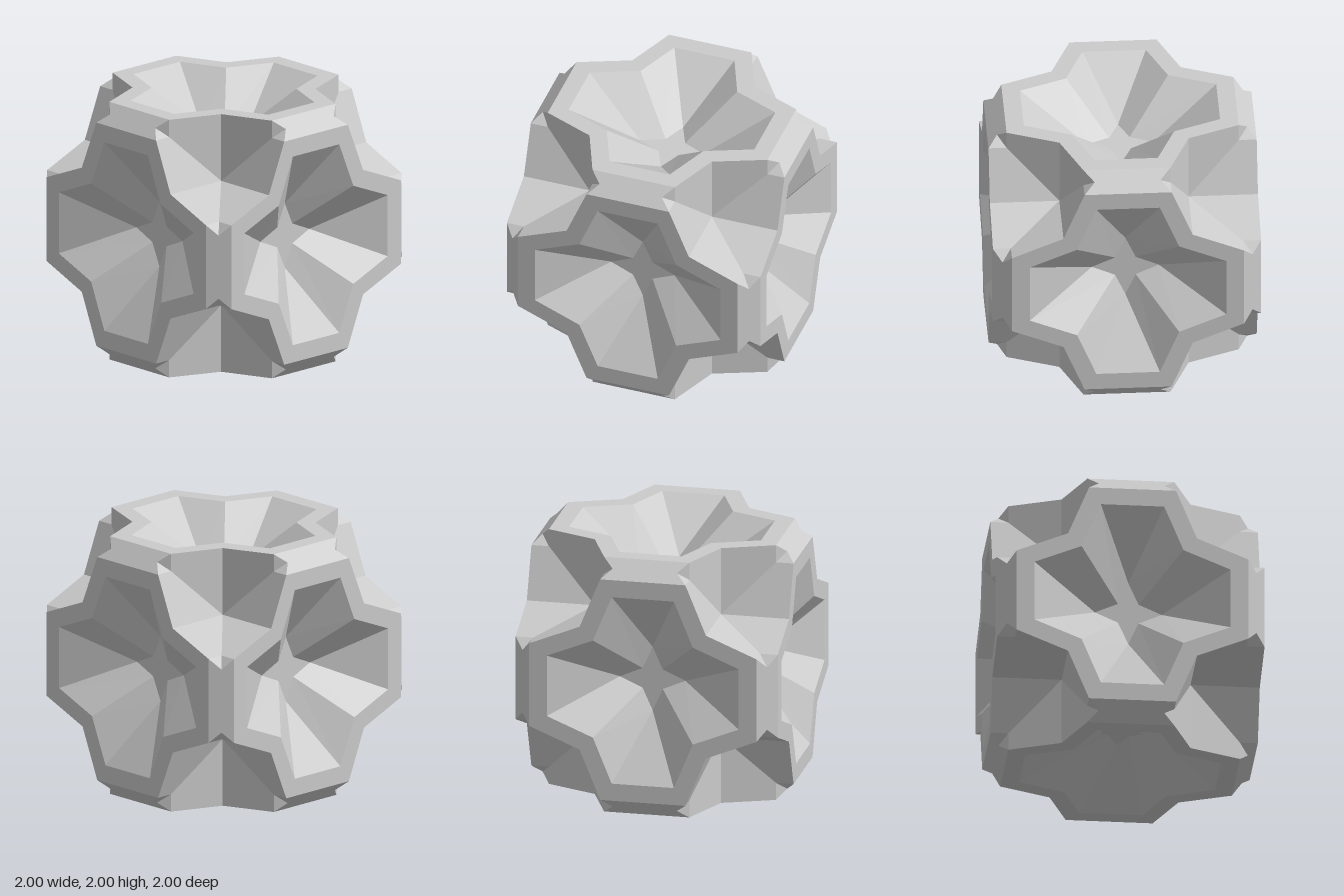
import * as THREE from 'three';

const material = new THREE.MeshStandardMaterial({ color: 0xcccccc, flatShading: true });

// Key distances from the centre of the solid (half width 1)
const O = 0.866, P = 0.325, S = 0.482; // rosette outline: arm reach, arm half width, inner corner
const N = 0.933, T = 0.245;            // notch at each end of a bevel
const D = 0.66;                        // height of the sunken star floor

// Flat-sided geometry from convex polygons (each fanned from its first corner)
function facets(polygons) {
  const pos = [];
  for (const p of polygons)
    for (let i = 1; i < p.length - 1; i++) pos.push(...p[0], ...p[i], ...p[i + 1]);
  const g = new THREE.BufferGeometry();
  g.setAttribute('position', new THREE.Float32BufferAttribute(pos, 3));
  g.computeVertexNormals();
  return g;
}

// Turn a list of polygons by quarter turns about z
function quarterTurns(polygons) {
  const out = [];
  for (let k = 0; k < 4; k++) {
    const c = [1, 0, -1, 0][k], s = [0, 1, 0, -1][k];
    for (const p of polygons)
      out.push(p.map(([x, y, z]) => [c * x - s * y, s * x + c * y, z]));
  }
  return out;
}

// One quarter of a rosette: outer outline, inner rim and floor star
const outer = [[O, -P, 1], [O, P, 1], [S, S, 1], [P, O, 1]];
const rim = [[0.732, -0.237, 1], [0.732, 0.237, 1], [0.381, 0.381, 1], [0.237, 0.732, 1]];
const star = [[0.25, 0, D], [0.077, 0.077, D], [0, 0.25, D]];

const frame = facets(quarterTurns(
  [0, 1, 2].map(i => [rim[i], outer[i], outer[i + 1], rim[i + 1]])));
const walls = facets(quarterTurns([
  [rim[0], rim[1], star[0]],
  [rim[1], rim[2], star[1], star[0]],
  [rim[2], rim[3], star[2], star[1]],
]));
const floor = facets(quarterTurns([[[0, 0, D], ...star]]));

// Bevel strip with a notch at both ends, between the front and top rosettes
const bevel = facets([[
  [T, N, N], [P, 1, O], [-P, 1, O], [-T, N, N], [-P, O, 1], [P, O, 1],
]]);

// Hollow corner: a third of it, repeated by cycling the axes
const C = [S, S, S], M = [O, O, P], notch = [N, N, T], top = [O, 1, P], side = [1, O, P];
const third = [
  [C, M, top, [S, 1, S]],
  [C, [1, S, S], side, M],
  [top, M, notch],
  [M, side, notch],
];
const corner = facets([0, 1, 2].flatMap(k =>
  third.map(p => p.map(v => [v[k], v[(k + 1) % 3], v[(k + 2) % 3]]))));

export function createModel() {
  const model = new THREE.Group();
  model.name = 'facetedBall';
  const q = Math.PI / 2;

  const add = (name, geometry, parent, rx = 0, ry = 0, rz = 0) => {
    const mesh = new THREE.Mesh(geometry, material);
    mesh.name = name;
    mesh.rotation.set(rx, ry, rz, 'YXZ');
    parent.add(mesh);
  };

  // Six rosettes
  const turns = [[0, 0], [0, q], [0, 2 * q], [0, 3 * q], [-q, 0], [q, 0]];
  for (const [rx, ry] of turns) {
    const rosette = new THREE.Group();
    rosette.name = 'rosette';
    add('rosetteFrame', frame, rosette);
    add('rosetteWalls', walls, rosette);
    add('rosetteFloor', floor, rosette);
    rosette.rotation.set(rx, ry, 0, 'YXZ');
    model.add(rosette);
  }

  for (let k = 0; k < 4; k++) {
    // Twelve bevels: upper, lower and upright
    add('upperBevel', bevel, model, 0, k * q, 0);
    add('lowerBevel', bevel, model, q, k * q, 0);
    add('uprightBevel', bevel, model, 0, k * q, q);
    // Eight hollow corners
    add('upperCorner', corner, model, 0, k * q, 0);
    add('lowerCorner', corner, model, q, k * q, 0);
  }

  model.position.y = 1;
  const root = new THREE.Group();
  root.name = 'model';
  root.add(model);
  return root;
}
